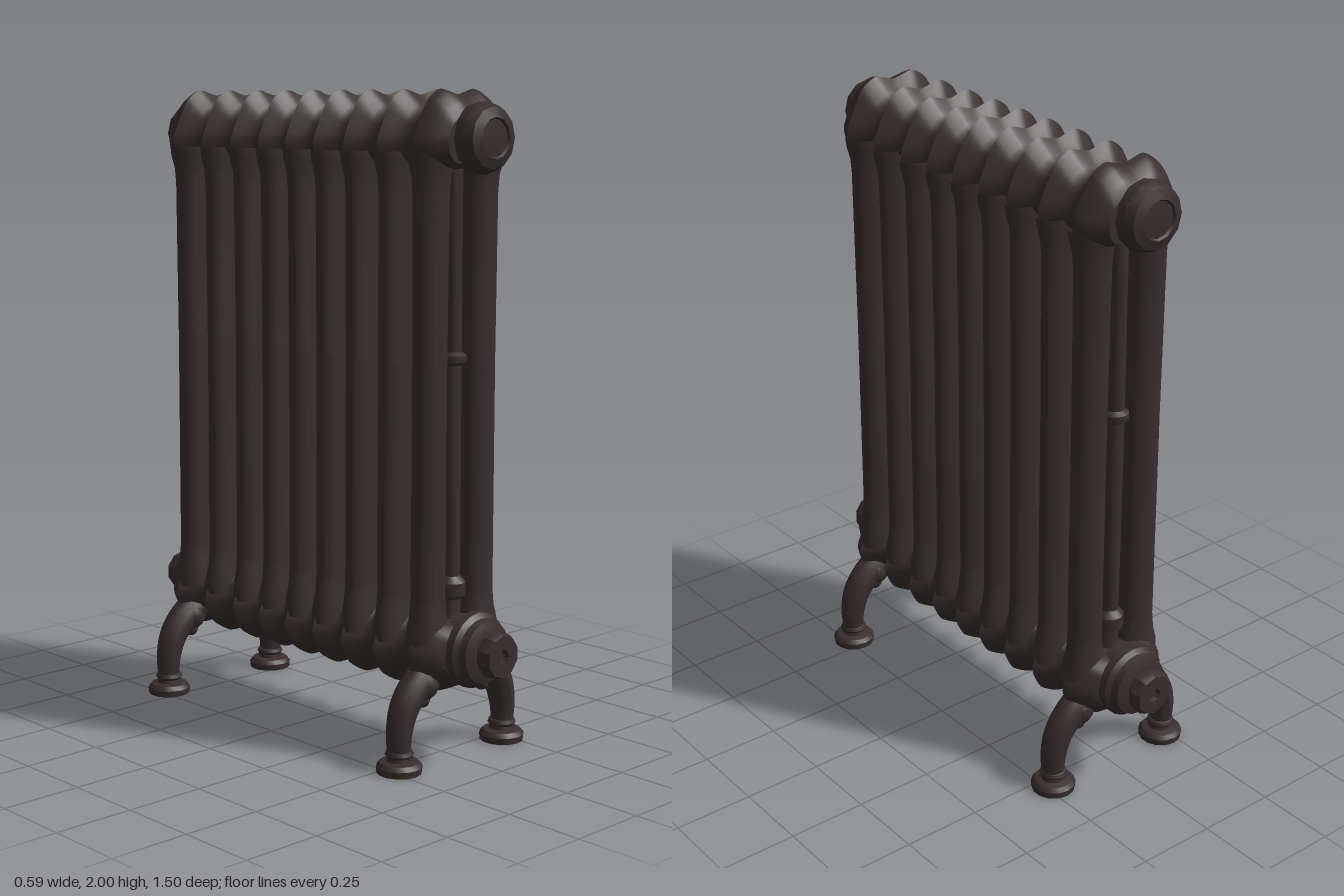
import * as THREE from 'three';
import { toCreasedNormals } from 'three/addons/utils/BufferGeometryUtils.js';

const iron = new THREE.MeshStandardMaterial({ color: 0x382e2e });
iron.name = 'cast iron';

const SECTIONS = [-0.54, -0.395, -0.255, -0.125, 0, 0.125, 0.255, 0.395, 0.54];

function add(parent, name, geometry, x = 0, y = 0, z = 0) {
  const mesh = new THREE.Mesh(geometry, iron);
  mesh.name = name;
  mesh.position.set(x, y, z);
  parent.add(mesh);
  return mesh;
}

function lathe(points, segments = 20, crease = 0.6) {
  const g = new THREE.LatheGeometry(points.map(([r, y]) => new THREE.Vector2(r, y)), segments);
  return toCreasedNormals(g, crease);
}

// Closed, rounded outline from its right half (top to bottom)
function outline(half) {
  const left = half.slice(1, -1).reverse().map(([x, y]) => [-x, y]);
  const pts = [...half, ...left].map(([x, y]) => new THREE.Vector3(x, y, 0));
  return new THREE.CatmullRomCurve3(pts, true, 'catmullrom', 0.3).getPoints(48).slice(0, 48);
}

// Ridge strength along the header: a sharp crest at each section, a soft valley between
function headerStations() {
  const out = [[-0.625, 0], [-0.605, 0.35], [-0.58, 0.75], [-0.557, 0.93]];
  SECTIONS.forEach((z, i) => {
    out.push([z, 1]);
    const next = SECTIONS[i + 1];
    if (next === undefined) return;
    const d = next - z;
    [[0.15, 0.64], [0.3, 0.26], [0.4, 0.07], [0.5, 0], [0.6, 0.07], [0.7, 0.26], [0.85, 0.64]]
      .forEach(([t, f]) => out.push([z + d * t, f]));
  });
  return [...out, [0.557, 0.93], [0.58, 0.75], [0.605, 0.35], [0.625, 0]];
}

// Header pipe lofted between a waist outline and a ridge outline
function headerGeometry(waistHalf, ridgeHalf) {
  const waist = outline(waistHalf), ridge = outline(ridgeHalf);
  const stations = headerStations(), n = waist.length;
  const pos = [], idx = [];
  for (const [z, f] of stations) {
    for (let j = 0; j < n; j++) {
      const p = waist[j].clone().lerp(ridge[j], f);
      pos.push(p.x, p.y, z);
    }
  }
  for (let i = 0; i < stations.length - 1; i++) {
    for (let j = 0; j < n; j++) {
      const a = i * n + j, b = i * n + (j + 1) % n;
      idx.push(a, a + n, b, b, a + n, b + n);
    }
  }
  // End caps
  const last = (stations.length - 1) * n;
  for (let j = 1; j < n - 1; j++) {
    idx.push(0, j, j + 1);
    idx.push(last, last + j + 1, last + j);
  }
  const g = new THREE.BufferGeometry();
  g.setAttribute('position', new THREE.Float32BufferAttribute(pos, 3));
  g.setIndex(idx);
  return toCreasedNormals(g, 0.75);
}

// Tapering curved leg
function legGeometry() {
  const curve = new THREE.CatmullRomCurve3([[0.09, 0.29], [0.155, 0.252], [0.205, 0.195], [0.227, 0.12], [0.226, 0.03]]
    .map(([x, y]) => new THREE.Vector3(x, y, 0)));
  const rings = 16, sides = 14;
  const g = new THREE.TubeGeometry(curve, rings, 0.052, sides);
  const p = g.attributes.position, v = new THREE.Vector3();
  for (let i = 0; i <= rings; i++) {
    const c = curve.getPointAt(i / rings), k = 1 - 0.38 * (i / rings) ** 1.5;
    for (let j = 0; j <= sides; j++) {
      const q = i * (sides + 1) + j;
      v.fromBufferAttribute(p, q).sub(c).multiplyScalar(k).add(c);
      p.setXYZ(q, v.x, v.y, v.z);
    }
  }
  g.computeVertexNormals();
  return g;
}

// Plugs, legs and slim rod at one end, facing +z
function createEnd() {
  const end = new THREE.Group();
  end.name = 'endFittings';

  const topPlug = lathe([[0.085, 0.58], [0.085, 0.612], [0.102, 0.622], [0.105, 0.655], [0.09, 0.685],
    [0.06, 0.695], [0.055, 0.688], [0, 0.692]], 12);
  add(end, 'topPlug', topPlug, 0, 1.86, 0).rotation.x = Math.PI / 2;

  const flange = lathe([[0.1, 0.58], [0.1, 0.61], [0.117, 0.625], [0.115, 0.65], [0.1, 0.662],
    [0.095, 0.685], [0.065, 0.695], [0, 0.695]], 20);
  add(end, 'bottomFlange', flange, 0, 0.35, 0).rotation.x = Math.PI / 2;

  const nut = lathe([[0.058, 0.68], [0.06, 0.705], [0.072, 0.712], [0.071, 0.735], [0.064, 0.75],
    [0.022, 0.75], [0.018, 0.735], [0, 0.735]], 10, 0.5);
  add(end, 'pipeNut', nut, 0, 0.35, 0).rotation.x = Math.PI / 2;

  const rod = lathe([[0.045, 0.4], [0.03, 0.45], [0.03, 0.49], [0.045, 0.5], [0.045, 0.54], [0.028, 0.56],
    [0.026, 1.195], [0.042, 1.205], [0.042, 1.225], [0.026, 1.235], [0.025, 1.8]], 12);
  add(end, 'slimRod', rod, 0, 0, 0.535);

  for (const side of [-1, 1]) {
    const leg = new THREE.Group();
    leg.name = side > 0 ? 'leftLeg' : 'rightLeg';
    leg.position.z = 0.545;
    leg.rotation.y = side > 0 ? 0 : Math.PI;
    add(leg, 'shank', legGeometry());
    add(leg, 'hip', new THREE.SphereGeometry(0.055, 14, 10), 0.135, 0.255, 0);
    add(leg, 'spur', new THREE.SphereGeometry(0.024, 10, 8), 0.13, 0.202, 0);
    const foot = lathe([[0, 0], [0.068, 0], [0.07, 0.02], [0.06, 0.033], [0.04, 0.038],
      [0.038, 0.048], [0.044, 0.056], [0.04, 0.066], [0.03, 0.07]], 14);
    add(leg, 'foot', foot, 0.226, 0, 0);
    end.add(leg);
  }
  return end;
}

export function createModel() {
  const model = new THREE.Group();
  model.name = 'radiator';

  add(model, 'topHeader', headerGeometry(
    [[0, 1.935], [0.055, 1.935], [0.1, 1.905], [0.122, 1.86], [0.118, 1.82], [0.09, 1.79], [0, 1.785]],
    [[0, 1.983], [0.07, 2.0], [0.125, 1.965], [0.182, 1.85], [0.168, 1.79], [0.11, 1.765], [0, 1.77]]));

  add(model, 'bottomHeader', headerGeometry(
    [[0, 0.425], [0.06, 0.425], [0.105, 0.4], [0.125, 0.345], [0.105, 0.295], [0.06, 0.268], [0, 0.265]],
    [[0, 0.43], [0.095, 0.44], [0.15, 0.425], [0.19, 0.34], [0.155, 0.262], [0.08, 0.218], [0, 0.218]]));

  // Two upright columns per section
  const columnGeometry = lathe([[1.3, 0.36], [1.25, 0.41], [1.08, 0.45], [1, 0.5], [0.98, 1.2], [1.03, 1.7],
    [1.1, 1.75], [1.3, 1.79], [1.35, 1.82]], 20, 1);
  for (const z of SECTIONS) {
    const depth = Math.abs(z) > 0.5 ? 0.047 : 0.038;
    for (const x of [-0.104, 0.104]) {
      add(model, 'column', columnGeometry, x, 0, z).scale.set(0.057, 1, depth);
    }
  }

  const front = createEnd();
  const back = createEnd();
  back.rotation.y = Math.PI;
  model.add(front, back);
  return model;
}
